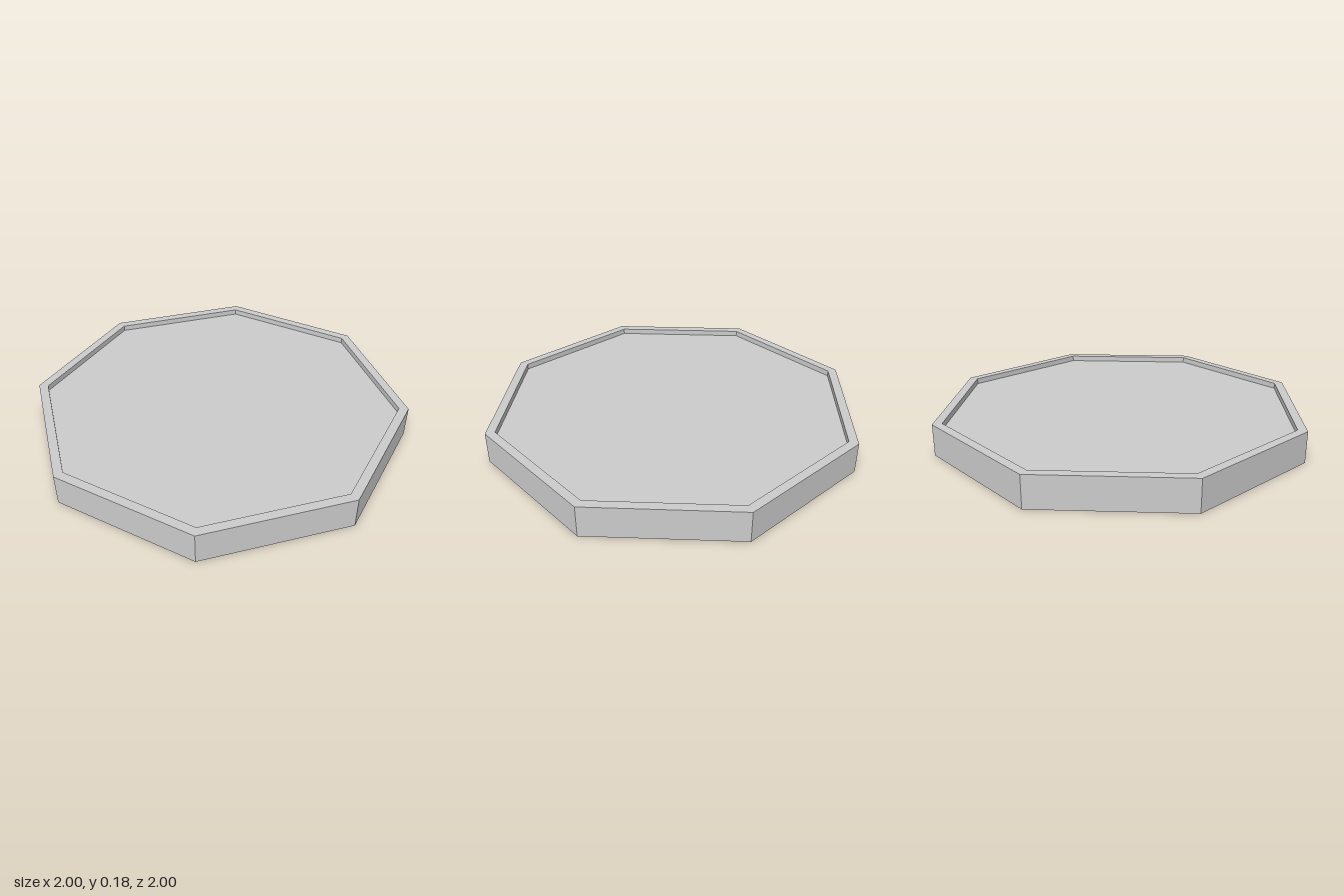
import * as THREE from 'three';

const SIDES = 8;
const HEIGHT = 0.18;
const FLOOR = 0.147;

// Corner radius of an octagon from the distance to its flat sides
const corner = (apothem) => apothem / Math.cos(Math.PI / SIDES);

export function createModel() {
  const group = new THREE.Group();
  const material = new THREE.MeshStandardMaterial({ color: 0xcccccc, flatShading: true });

  // Tray section: underside, outer wall, rim, inner wall, recessed floor
  const profile = [
    [0, 0],
    [corner(1), 0],
    [corner(1), HEIGHT],
    [corner(0.95), HEIGHT],
    [corner(0.95), FLOOR],
    [0, FLOOR],
  ].map(([r, y]) => new THREE.Vector2(r, y));

  // Eight-sided turn, rotated half a step so flat sides face the axes
  const geometry = new THREE.LatheGeometry(profile, SIDES, Math.PI / SIDES).toNonIndexed();
  geometry.computeVertexNormals();

  const tray = new THREE.Mesh(geometry, material);
  tray.name = 'octagonalTray';
  group.add(tray);
  return group;
}
